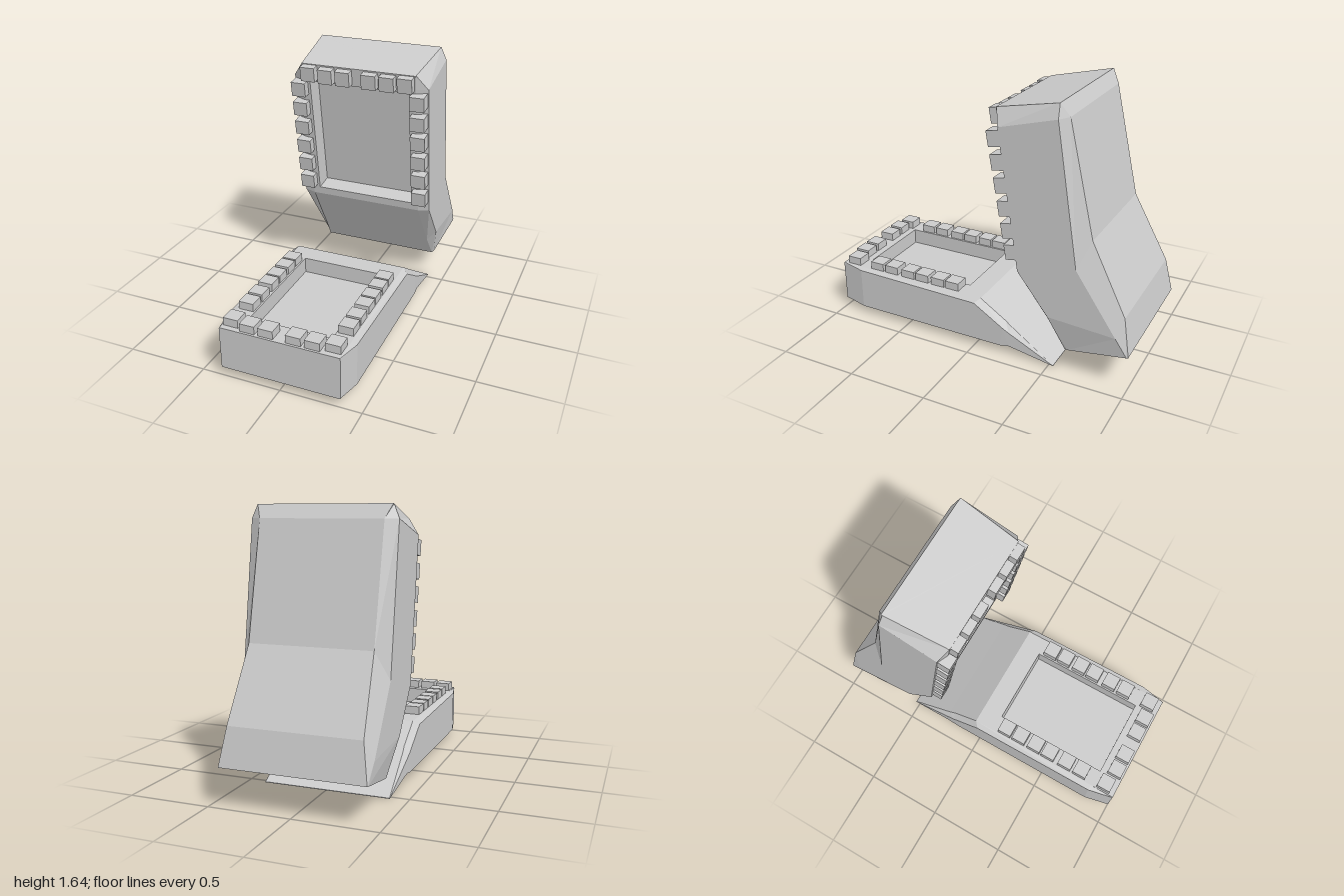
import * as THREE from 'three';

const grey = new THREE.MeshStandardMaterial({ color: 0xcccccc, flatShading: true });

function addMesh(parent, geometry, name) {
  const mesh = new THREE.Mesh(geometry, grey);
  mesh.name = name;
  parent.add(mesh);
  return mesh;
}

// Skins mirrored cross-sections. Each section lists four right-hand points,
// from the biting side to the outer side. Spans in `open` leave that side
// uncovered, so a recessed panel can fill it.
function loft(sections, open) {
  const rings = sections.map((s) => [...s, ...s.map(([x, y, z]) => [-x, y, z]).reverse()]);
  const pos = [];
  const tri = (...p) => p.forEach((v) => pos.push(...v));
  const n = rings[0].length;
  for (let i = 0; i < rings.length - 1; i++) {
    for (let j = 0; j < n; j++) {
      if (j === n - 1 && open.includes(i)) continue;
      const k = (j + 1) % n;
      const [a, b, c, d] = [rings[i][j], rings[i][k], rings[i + 1][k], rings[i + 1][j]];
      tri(a, b, c);
      tri(a, c, d);
    }
  }
  const first = rings[0];
  const last = rings[rings.length - 1];
  for (let j = 1; j < n - 1; j++) {
    tri(first[0], first[j + 1], first[j]);
    tri(last[0], last[j], last[j + 1]);
  }
  const geometry = new THREE.BufferGeometry();
  geometry.setAttribute('position', new THREE.Float32BufferAttribute(pos, 3));
  geometry.computeVertexNormals();
  return geometry;
}

// Flat rim with a sunken pocket; local y runs along the jaw, local z points out
function addPanel(parent, halfWidth, length, pocketHalf, y0, y1, depth) {
  const rim = new THREE.Shape([
    new THREE.Vector2(-halfWidth, 0), new THREE.Vector2(halfWidth, 0),
    new THREE.Vector2(halfWidth, length), new THREE.Vector2(-halfWidth, length),
  ]);
  rim.holes.push(new THREE.Path([
    new THREE.Vector2(-pocketHalf, y0), new THREE.Vector2(-pocketHalf, y1),
    new THREE.Vector2(pocketHalf, y1), new THREE.Vector2(pocketHalf, y0),
  ]));
  addMesh(parent, new THREE.ShapeGeometry(rim), 'gumRim');

  // Box without its outward face, turned inside out
  const box = new THREE.BoxGeometry(pocketHalf * 2, y1 - y0, depth);
  const index = Array.from(box.index.array).filter((_, i) => i < 24 || i >= 30);
  box.setIndex(index.reverse());
  const pocket = box.toNonIndexed();
  pocket.computeVertexNormals();
  pocket.translate(0, (y0 + y1) / 2, -depth / 2);
  addMesh(parent, pocket, 'mouthPocket');
}

// Mirrored pairs of block teeth: a row down each side and one across the end
function addTeeth(parent, sideX, sideYs, endYs, height) {
  const place = (x, y) => {
    for (const side of [1, -1]) {
      const tooth = addMesh(parent, new THREE.BoxGeometry(0.093, 0.093, 0.1), 'tooth');
      tooth.position.set(side * x, y, height - 0.05);
    }
  };
  sideYs.forEach((y) => place(sideX, y));
  [0.315, 0.2, 0.085].forEach((x, i) => place(x, endYs[i]));
}

function lowerJaw() {
  const jaw = new THREE.Group();
  jaw.name = 'lowerJaw';
  // Front to pointed back
  addMesh(jaw, loft([
    [[0.37, 0.325, 1], [0.372, 0.32, 1], [0.372, 0.06, 1], [0.37, 0.055, 1]],
    [[0.37, 0.325, 0.84], [0.405, 0.317, 0.84], [0.405, 0.05, 0.84], [0.39, 0.045, 0.84]],
    [[0.37, 0.325, -0.03], [0.405, 0.3, 0], [0.405, 0.05, 0], [0.39, 0.045, 0]],
    [[0.37, 0.215, -0.2], [0.405, 0.175, -0.2], [0.405, 0.05, -0.18], [0.39, 0.045, -0.18]],
    [[0.375, 0.189, -0.24], [0.403, 0.152, -0.24], [0.403, 0.06, -0.24], [0.39, 0.055, -0.24]],
    [[0.39, 0.004, -0.53], [0.392, 0.003, -0.53], [0.392, 0.001, -0.53], [0.39, 0, -0.53]],
  ], [0, 1]), 'lowerJawShell');

  const inside = new THREE.Group();
  inside.name = 'lowerJawInside';
  inside.position.set(0, 0.325, 1);
  inside.rotation.x = -Math.PI / 2;
  addPanel(inside, 0.37, 1.03, 0.258, 0.15, 0.895, 0.1);
  const zs = [0.74, 0.63, 0.505, 0.4, 0.285, 0.18];
  addTeeth(inside, 0.315, zs.map((z) => 1 - z), [0.08, 0.06, 0.06], 0.05);
  jaw.add(inside);
  return jaw;
}

function upperJaw() {
  const jaw = new THREE.Group();
  jaw.name = 'upperJaw';
  // Hinge end up to the snout
  addMesh(jaw, loft([
    [[0.39, 0.145, -0.6], [0.4, 0.149, -0.62], [0.432, 0.228, -0.99], [0.43, 0.23, -1]],
    [[0.38, 0.295, -0.5], [0.44, 0.365, -0.505], [0.44, 0.34, -0.92], [0.395, 0.455, -0.955]],
    [[0.37, 0.61, -0.295], [0.44, 0.617, -0.31], [0.44, 0.71, -0.67], [0.37, 0.875, -0.735]],
    [[0.37, 1.47, -0.154], [0.44, 1.465, -0.185], [0.44, 1.56, -0.54], [0.37, 1.56, -0.58]],
    [[0.37, 1.555, -0.14], [0.371, 1.557, -0.145], [0.405, 1.638, -0.525], [0.405, 1.64, -0.533]],
  ], [2, 3]), 'upperJawShell');

  const tilt = Math.atan2(0.155, 0.945);
  const along = (y) => (y - 0.61) / Math.cos(tilt);
  const inside = new THREE.Group();
  inside.name = 'upperJawInside';
  inside.position.set(0, 0.61, -0.295);
  inside.rotation.x = tilt;
  addPanel(inside, 0.37, along(1.555), 0.325, along(0.66), along(1.44), 0.12);
  const ys = [1.395, 1.26, 1.127, 0.99, 0.857, 0.725].map(along);
  addTeeth(inside, 0.388, ys, [1.505, 1.5, 1.5].map(along), 0.05);
  jaw.add(inside);
  return jaw;
}

export function createModel() {
  const model = new THREE.Group();
  model.name = 'openJaws';
  model.add(lowerJaw(), upperJaw());
  return model;
}
